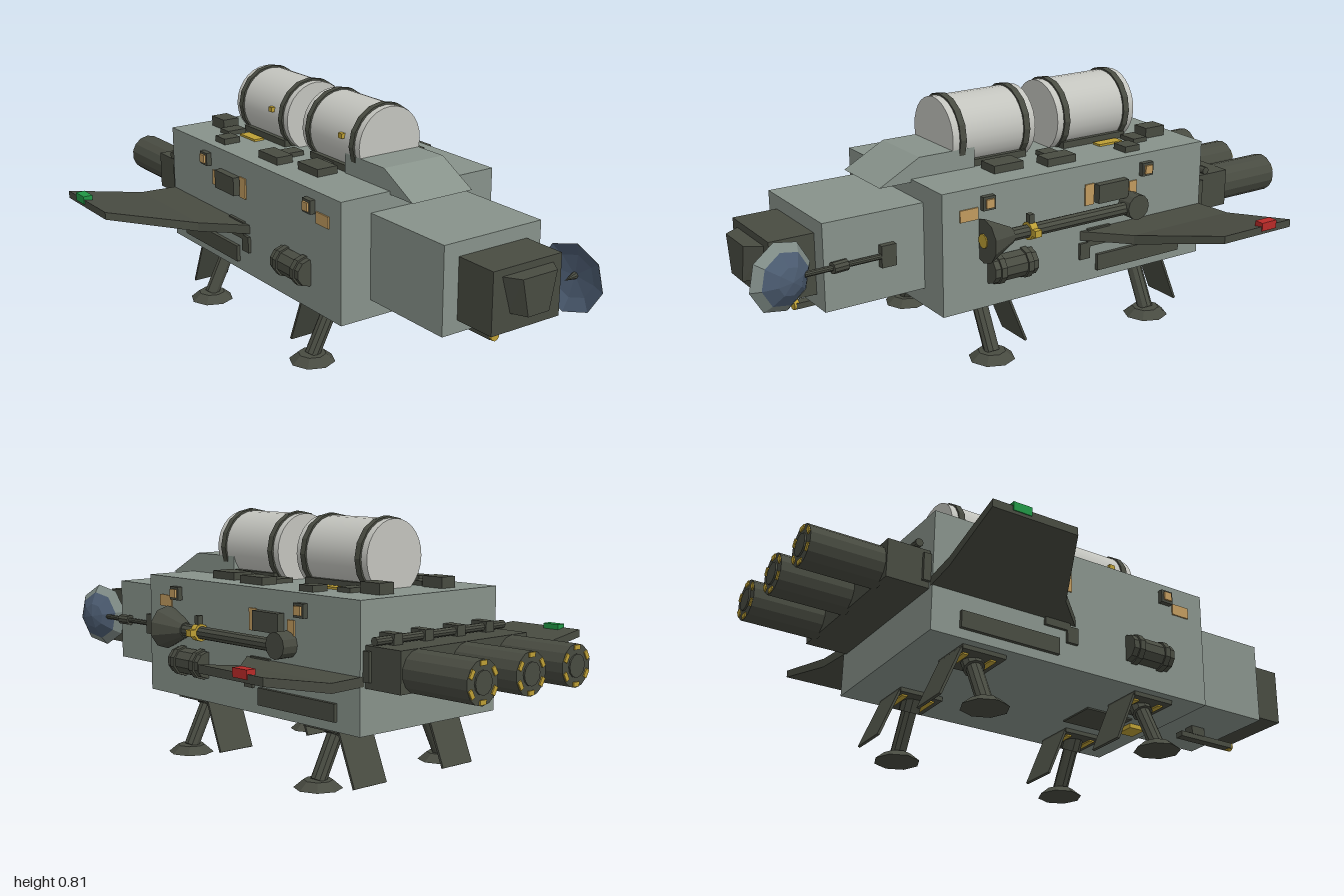
import * as THREE from 'three';

const mat = (name, color, extra = {}) => Object.assign(new THREE.MeshStandardMaterial({ color, ...extra }), { name });

export function createModel() {
  const root = new THREE.Group();
  root.name = 'spaceFreighter';
  const hullM = mat('hullGrey', 0x87928a), darkM = mat('darkMetal', 0x484b41, { flatShading: true });
  const tankM = mat('tankWhite', 0xc3c4be), goldM = mat('goldYellow', 0xbd9f35), tanM = mat('tan', 0xc09a5e);
  const blueM = mat('dishBlue', 0x4b5b70, { flatShading: true, side: THREE.DoubleSide });
  const redM = mat('portRed', 0xb82a28), greenM = mat('starboardGreen', 0x219645);
  const ringM = mat('dishRim', 0x7f8b86, { flatShading: true, side: THREE.DoubleSide });

  const add = (name, geo, m, parent = root) => {
    const mesh = new THREE.Mesh(geo, m);
    mesh.name = name;
    parent.add(mesh);
    return mesh;
  };
  // Box given by its extents on each axis
  const box = (name, m, x0, x1, y0, y1, z0, z1) => {
    const g = new THREE.BoxGeometry(Math.abs(x1 - x0), Math.abs(y1 - y0), Math.abs(z1 - z0));
    return add(name, g.translate((x0 + x1) / 2, (y0 + y1) / 2, (z0 + z1) / 2), m);
  };
  // Cylinder or cone running between two points
  const rod = (name, m, a, b, ra, rb = ra, sides = 10) => {
    const A = new THREE.Vector3(...a), B = new THREE.Vector3(...b), d = B.clone().sub(A);
    const mesh = add(name, new THREE.CylinderGeometry(rb, ra, d.length(), sides), m);
    mesh.position.copy(A).add(B).multiplyScalar(0.5);
    mesh.quaternion.setFromUnitVectors(new THREE.Vector3(0, 1, 0), d.normalize());
    return mesh;
  };
  // Move each vertex of a geometry by a rule
  const warp = (geo, rule) => {
    const p = geo.attributes.position;
    for (let i = 0; i < p.count; i++) p.setXYZ(i, ...rule(p.getX(i), p.getY(i), p.getZ(i)));
    const g = geo.toNonIndexed();
    g.computeVertexNormals();
    return g;
  };

  // Hull, forward section and cockpit
  box('hull', hullM, -0.295, 0.295, 0.19, 0.585, -0.61, 0.41);
  box('forwardSection', hullM, -0.185, 0.185, 0.25, 0.53, 0.4, 0.75);
  box('cockpit', darkM, -0.13, 0.13, 0.29, 0.485, 0.74, 0.895);
  add('cockpitWindow', warp(new THREE.BoxGeometry(1, 1, 1), (x, y, z) => {
    const front = z > 0, top = y > 0;
    const w = front ? (top ? 0.065 : 0.04) : (top ? 0.1 : 0.065);
    return [Math.sign(x) * w, top ? 0.463 : 0.345, front ? 0.945 : 0.89];
  }), darkM);

  // Sloped fairing in front of the tanks
  const profile = new THREE.Shape([[0.52, 0.575], [0.38, 0.65], [0.18, 0.65], [0.18, 0.575]].map(p => new THREE.Vector2(...p)));
  const fairing = new THREE.ExtrudeGeometry(profile, { depth: 0.23, bevelEnabled: false });
  add('fairing', fairing.rotateY(-Math.PI / 2).translate(0.115, 0, 0), hullM);

  // Tanks with bands and saddles
  for (const [z0, z1] of [[-0.05, 0.26], [-0.455, -0.14]]) {
    rod('tank', tankM, [0, 0.68, z0], [0, 0.68, z1], 0.119, 0.119, 28);
    for (const z of [z0 + 0.035, z1 - 0.035])
      rod('tankBand', darkM, [0, 0.68, z - 0.011], [0, 0.68, z + 0.011], 0.126, 0.126, 16);
    box('tankSaddle', darkM, -0.11, 0.11, 0.58, 0.607, z0 + 0.03, z1 - 0.03);
    box('tankValve', goldM, -0.128, -0.112, 0.697, 0.713, z1 - 0.1, z1 - 0.08);
  }

  // Engine block, pipe and three engines
  box('engineBlock', darkM, -0.275, 0.275, 0.33, 0.455, -0.75, -0.6);
  box('engineMount', darkM, -0.285, 0.285, 0.35, 0.44, -0.635, -0.6);
  rod('enginePipe', darkM, [-0.28, 0.47, -0.65], [0.28, 0.47, -0.65], 0.013);
  for (const x of [-0.2, -0.07, 0.07, 0.2]) box('pipeClamp', darkM, x - 0.018, x + 0.018, 0.45, 0.488, -0.668, -0.61);
  for (const x of [-0.205, 0, 0.205]) {
    rod('engine', darkM, [x, 0.39, -0.985], [x, 0.39, -0.74], 0.065, 0.065, 14);
    rod('engineCore', darkM, [x, 0.39, -0.99], [x, 0.39, -0.98], 0.035, 0.035, 12);
    for (let i = 0; i < 6; i++) {
      const a = i * Math.PI / 3 + Math.PI / 6;
      const tab = add('nozzleTab', new THREE.BoxGeometry(0.014, 0.026, 0.04), goldM);
      tab.position.set(x + 0.054 * Math.cos(a), 0.39 + 0.054 * Math.sin(a), -0.969);
      tab.rotation.z = a;
    }
  }

  // Wing stations: x, bottom y, top y, back z, front z
  const stations = [[0.28, 0.335, 0.365, -0.61, -0.09], [0.42, 0.335, 0.365, -0.625, -0.225], [0.685, 0.39, 0.415, -0.645, -0.365]];
  for (const s of [1, -1]) {
    add(s > 0 ? 'leftWing' : 'rightWing', warp(new THREE.BoxGeometry(1, 1, 1, 2), (x, y, z) => {
      const [sx, lo, hi, back, front] = stations[Math.round((s * x + 0.5) * 2)];
      return [s * sx, y > 0 ? hi : lo, z > 0 ? front : back];
    }), darkM);
    box('wingLight', s > 0 ? redM : greenM, s * 0.656, s * 0.688, 0.4, 0.427, -0.58, -0.52);

    // Landing legs with bay doors and feet
    for (const z of [0.22, -0.41]) {
      rod('legStrut', darkM, [s * 0.185, 0.19, z], [s * 0.272, 0.02, z], 0.025);
      rod('legCollar', darkM, [s * 0.185, 0.19, z], [s * 0.205, 0.15, z], 0.034);
      rod('foot', darkM, [s * 0.272, 0, z], [s * 0.272, 0.025, z], 0.075, 0.045, 8);
      box('legBay', darkM, s * 0.12, s * 0.265, 0.176, 0.192, z - 0.075, z + 0.075);
      for (const dz of [-0.05, 0.045])
        box('bayTrim', goldM, s * 0.14, s * 0.24, 0.171, 0.18, z + dz - 0.01, z + dz + 0.01);
      const door = add('bayDoor', new THREE.BoxGeometry(0.135, 0.178, 0.008), darkM);
      door.position.set(s * 0.193, 0.1, z - 0.107);
      door.rotation.x = 0.39;
    }

    // Equipment boxes on the roof: x, z, width, length, top
    for (const [x, z, w, l, top] of [
      [0.135, -0.515, 0.06, 0.08, 0.62], [0.155, -0.43, 0.07, 0.055, 0.6], [0.23, -0.34, 0.06, 0.06, 0.605],
      [0.215, -0.065, 0.06, 0.11, 0.61], [0.15, -0.085, 0.08, 0.055, 0.6], [0.175, 0.115, 0.075, 0.11, 0.61],
      [0.13, 0.085, 0.05, 0.05, 0.6]])
      box('roofBox', darkM, s * (x - w / 2), s * (x + w / 2), 0.58, top, z - l / 2, z + l / 2);
    box('roofPanel', goldM, s * 0.12, s * 0.157, 0.58, 0.592, -0.38, -0.285);

    // Side wall fittings: y0, y1, z0, z1, depth
    const side = (name, m, y0, y1, z0, z1, d) => box(name, m, s * 0.29, s * (0.295 + d), y0, y1, z0, z1);
    side('tanPanel', tanM, 0.485, 0.523, 0.285, 0.35, 0.005);
    side('tanPanel', tanM, 0.45, 0.52, -0.155, -0.12, 0.005);
    side('tanPanel', tanM, 0.45, 0.5, -0.33, -0.3, 0.005);
    for (const z of [0.253, -0.365]) {
      side('portFrame', darkM, 0.512, 0.556, z - 0.022, z + 0.022, 0.018);
      side('portLamp', tanM, 0.52, 0.548, z - 0.014, z + 0.014, 0.025);
    }
    side('sideBox', darkM, 0.455, 0.517, -0.28, -0.16, 0.025);
    side('sideBlock', darkM, 0.27, 0.325, -0.14, -0.1, 0.01);
    side('sideBlock', darkM, 0.31, 0.37, -0.22, -0.13, 0.01);
    side('lowerPanel', darkM, 0.22, 0.275, -0.515, -0.17, 0.012);
    rod('sideCanister', darkM, [s * 0.3, 0.312, 0.09], [s * 0.3, 0.312, 0.25], 0.044, 0.044, 10);
    for (const z of [0.12, 0.22]) rod('canisterBand', darkM, [s * 0.3, 0.312, z - 0.01], [s * 0.3, 0.312, z + 0.01], 0.05);
  }

  // Flared side cannon on the left wall
  rod('cannonBarrel', darkM, [0.32, 0.42, -0.3], [0.32, 0.42, 0.2], 0.021);
  rod('cannonFlare', darkM, [0.32, 0.42, 0.18], [0.32, 0.42, 0.28], 0.025, 0.072, 10);
  rod('cannonMuzzle', goldM, [0.32, 0.42, 0.278], [0.32, 0.42, 0.284], 0.023);
  rod('cannonRing', goldM, [0.32, 0.42, 0.095], [0.32, 0.42, 0.12], 0.029);
  box('cannonClamp', goldM, 0.29, 0.365, 0.41, 0.432, 0.095, 0.12);
  box('cannonSight', darkM, 0.31, 0.33, 0.43, 0.475, 0.1, 0.118);
  rod('cannonPivot', darkM, [0.29, 0.425, -0.3], [0.35, 0.425, -0.3], 0.042, 0.042, 12);

  // Chin gun and belly hatch
  box('chinGun', darkM, -0.016, 0.016, 0.203, 0.222, 0.54, 0.765);
  box('chinMount', darkM, -0.018, 0.018, 0.22, 0.255, 0.585, 0.64);
  rod('chinMuzzle', goldM, [0, 0.213, 0.755], [0, 0.213, 0.772], 0.016);
  box('bellyHatch', goldM, -0.033, 0.033, 0.175, 0.192, 0.3, 0.36);
  box('bellyPanel', darkM, -0.07, 0.07, 0.185, 0.192, 0.1, 0.28);

  // Dish on its arm
  box('armBase', darkM, 0.18, 0.205, 0.357, 0.427, 0.517, 0.567);
  rod('dishArm', darkM, [0.195, 0.392, 0.54], [0.2, 0.392, 0.82], 0.009);
  rod('armJoint', darkM, [0.195, 0.392, 0.68], [0.2, 0.392, 0.73], 0.018);
  const dish = new THREE.Group();
  dish.name = 'dish';
  const lathe = pts => new THREE.LatheGeometry(pts.map(p => new THREE.Vector2(...p)), 8, Math.PI / 8);
  add('dishRim', lathe([[0.112, 0], [0.086, 0.025]]), ringM, dish);
  add('dishCap', lathe([[0.086, 0.025], [0.045, 0.052], [0, 0.062]]), blueM, dish);
  add('dishBowl', lathe([[0.111, -0.001], [0.07, 0.018], [0, 0.028]]), blueM, dish);
  add('dishFeed', new THREE.ConeGeometry(0.012, 0.06, 8).rotateX(Math.PI).translate(0, 0, 0), darkM, dish);
  dish.position.set(0.178, 0.392, 0.885);
  dish.quaternion.setFromUnitVectors(new THREE.Vector3(0, 1, 0), new THREE.Vector3(0.974, 0, -0.226).normalize());
  root.add(dish);

  return root;
}
